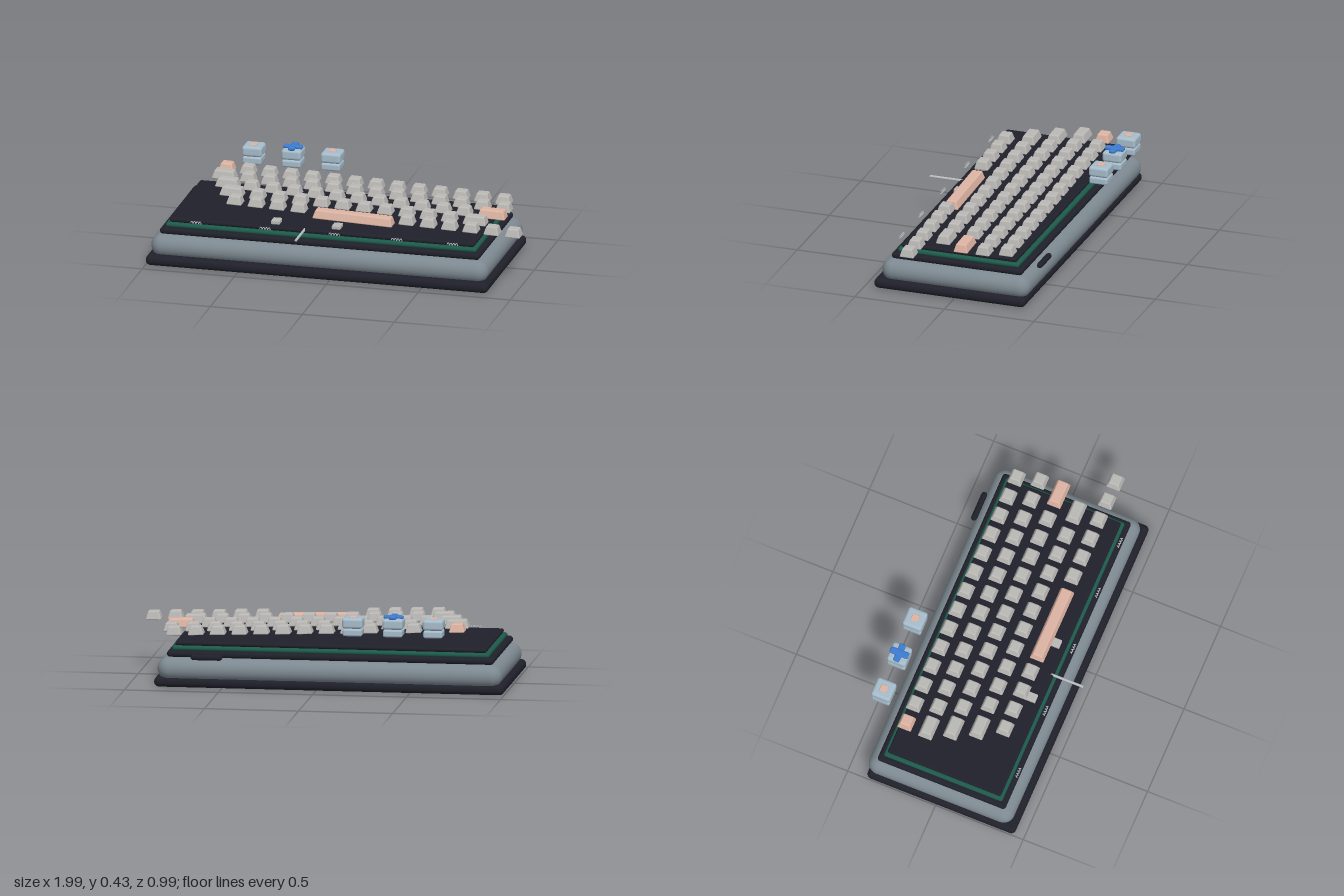
import * as THREE from 'three';
import { RoundedBoxGeometry } from 'three/addons/geometries/RoundedBoxGeometry.js';

const mat = (name, color) => new THREE.MeshStandardMaterial({ name, color });

// Key cap: rounded box whose sides lean in towards the top
function keyGeometry(w, d = 0.079, h = 0.046, inset = 0.013) {
  const geo = new RoundedBoxGeometry(w, h, d, 2, 0.006);
  const p = geo.attributes.position;
  for (let i = 0; i < p.count; i++) {
    const t = THREE.MathUtils.clamp(p.getY(i) / h + 0.5, 0, 1) ** 1.3;
    p.setX(i, p.getX(i) - Math.sign(p.getX(i)) * inset * t);
    p.setZ(i, p.getZ(i) - Math.sign(p.getZ(i)) * inset * t);
  }
  geo.computeVertexNormals();
  return geo;
}

// Small helical wire running along x
class Helix extends THREE.Curve {
  getPoint(t, target = new THREE.Vector3()) {
    const a = t * Math.PI * 2 * 4;
    return target.set((t - 0.5) * 0.06, Math.sin(a) * 0.006, Math.cos(a) * 0.006);
  }
}

export function createModel() {
  const model = new THREE.Group();
  const dark = mat('charcoal', 0x20202b);
  const caseGray = mat('case gray', 0x7d8991);
  const green = mat('board green', 0x1d5a4b);
  const keyGray = mat('key gray', 0xb9b8b5);
  const peach = mat('peach', 0xdcb3a2);
  const paleBlue = mat('pale blue', 0xa6bccb);
  const blue = mat('blue', 0x3d7bd0);
  const silver = mat('silver', 0xb8bec2);

  const add = (name, geo, material, x, y, z, parent = model) => {
    const mesh = new THREE.Mesh(geo, material);
    mesh.name = name;
    mesh.position.set(x, y, z);
    parent.add(mesh);
    return mesh;
  };

  // Stacked layers: name, material, x range, y range, z range, edge radius
  const layers = [
    ['bottomCover', dark, -1.0, 0.86, 0, 0.055, -0.395, 0.448, 0.026],
    ['caseBody', caseGray, -0.985, 0.845, 0.035, 0.156, -0.406, 0.418, 0.06],
    ['dampingLayer', dark, -0.94, 0.796, 0.156, 0.19, -0.358, 0.37, 0.016],
    ['circuitBoard', green, -0.914, 0.772, 0.188, 0.212, -0.332, 0.343, 0.011],
    ['keyPlate', dark, -0.897, 0.758, 0.212, 0.235, -0.316, 0.328, 0.011],
  ];
  for (const [name, m, x0, x1, y0, y1, z0, z1, r] of layers) {
    add(name, new RoundedBoxGeometry(x1 - x0, y1 - y0, z1 - z0, 5, r), m,
      (x0 + x1) / 2, (y0 + y1) / 2, (z0 + z1) / 2);
  }

  // Floating key field, tipped slightly down towards +x
  const keys = new THREE.Group();
  keys.name = 'keyField';
  keys.position.y = 0.313;
  keys.rotation.z = -0.035;
  model.add(keys);
  const pitch = 0.1158, unit = 0.083, wide = 0.126;
  const unitGeo = keyGeometry(unit), wideGeo = keyGeometry(wide);
  const run = (x, count, z) => {
    for (let i = 0; i < count; i++) add('key', unitGeo, keyGray, x + i * pitch, 0, z, keys);
  };
  const [z1, z2, z3, z4, z5] = [-0.272, -0.153, -0.032, 0.092, 0.217];
  add('cornerKey', unitGeo, peach, -0.738, 0, z1, keys);
  run(-0.738 + pitch, 13, z1);
  add('wideKey', wideGeo, keyGray, -0.72, 0, z2, keys);
  run(-0.591, 13, z2);
  add('wideKey', wideGeo, keyGray, -0.671, 0, z3, keys);
  run(-0.543, 11, z3);
  add('returnKey', keyGeometry(0.15), peach, 0.767, 0, z3, keys);
  add('wideKey', wideGeo, keyGray, -0.615, 0, z4, keys);
  run(-0.476, 10, z4);
  add('wideKey', wideGeo, keyGray, 0.707, 0, z4, keys);
  run(-0.567, 4, z5);
  add('spaceBar', keyGeometry(0.432), peach, 0.077, -0.022, z5, keys);
  run(0.368, 6, z5);

  // Loose switches behind the keys
  const lowerGeo = new RoundedBoxGeometry(0.102, 0.039, 0.102, 3, 0.01);
  const upperGeo = new RoundedBoxGeometry(0.108, 0.056, 0.108, 3, 0.015);
  [-0.638, -0.424, -0.21].forEach((x, i) => {
    const sw = new THREE.Group();
    sw.name = 'switch';
    sw.position.set(x, 0, -0.444);
    model.add(sw);
    add('switchBase', lowerGeo, paleBlue, 0, 0.334, 0, sw);
    add('switchTop', upperGeo, paleBlue, 0, 0.383, 0, sw);
    if (i === 1) {
      add('crossStem', new RoundedBoxGeometry(0.104, 0.018, 0.036, 3, 0.008), blue, 0, 0.416, 0, sw);
      add('crossStem', new RoundedBoxGeometry(0.036, 0.02, 0.104, 3, 0.008), blue, 0, 0.417, 0, sw);
    } else {
      add('stem', new RoundedBoxGeometry(0.04, 0.014, 0.04, 2, 0.004), peach, 0, 0.409, 0, sw);
    }
  });

  // Stabilizer blocks and their wire
  for (const x of [-0.33, 0]) {
    add('stabilizerBlock', new RoundedBoxGeometry(0.048, 0.022, 0.06, 2, 0.005), keyGray, x, 0.247, 0.268);
  }
  const wire = add('stabilizerWire', new THREE.CylinderGeometry(0.007, 0.007, 0.185, 10), silver, -0.166, 0.229, 0.403);
  wire.rotation.x = Math.PI / 2;

  // Springs along the front edge
  const springGeo = new THREE.TubeGeometry(new Helix(), 64, 0.0025, 5);
  for (const x of [-0.741, -0.366, 0.01, 0.35, 0.652]) {
    add('spring', springGeo, silver, x, 0.233, 0.363);
  }

  // Rear cable port
  const port = add('cablePort', new THREE.CapsuleGeometry(0.016, 0.138, 3, 8), dark, 0.577, 0.168, -0.407);
  port.rotation.z = Math.PI / 2;

  return model;
}
